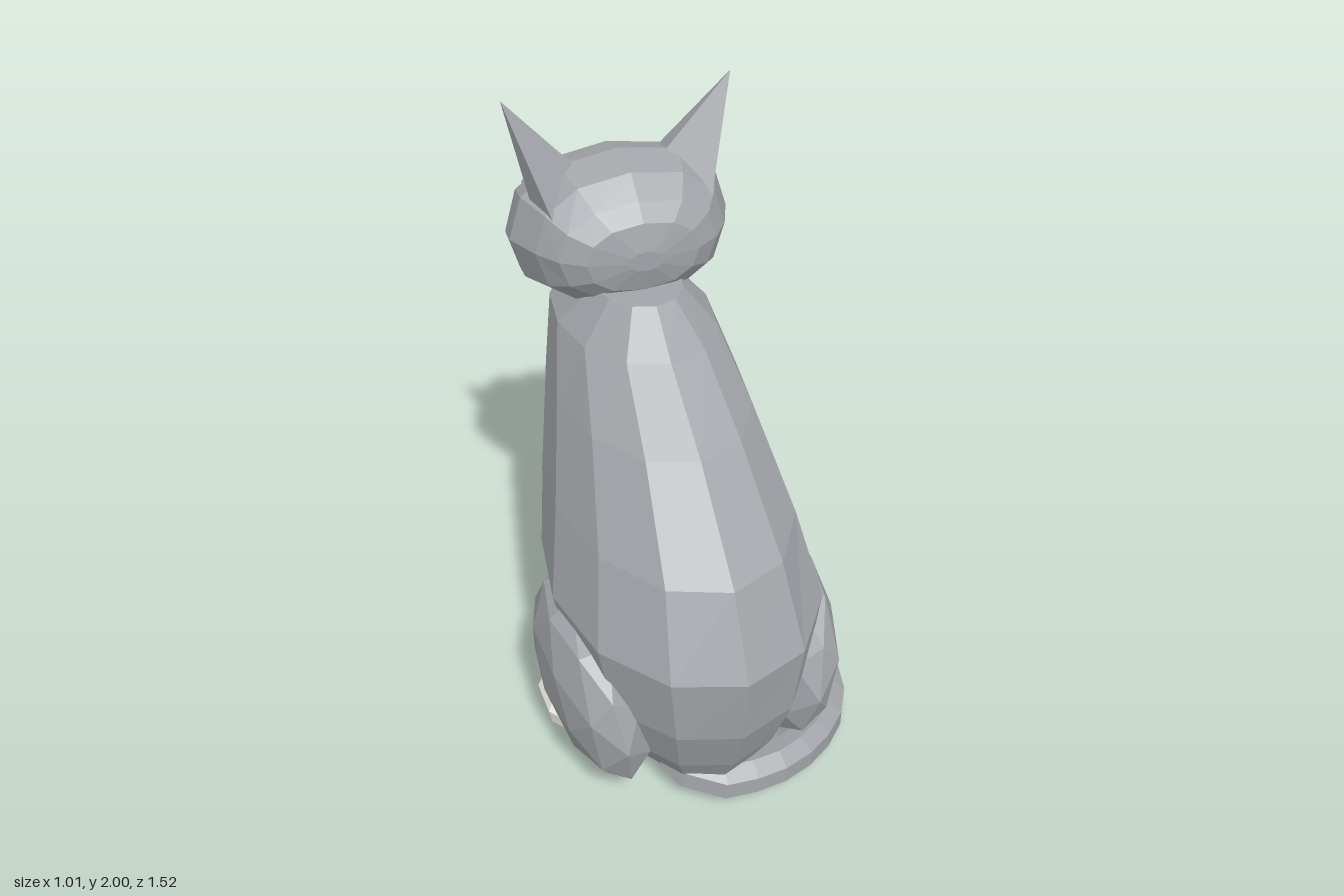
import * as THREE from 'three';

const mat = (color) => new THREE.MeshStandardMaterial({ color, flatShading: true, side: THREE.DoubleSide });
const fur = mat(0xa2a4a9), white = mat(0xf2efe8), pink = mat(0xdba5a2);
const iris = mat(0xb9bd7c), dark = mat(0x2c2c2c);

function add(parent, name, geometry, material) {
  const mesh = new THREE.Mesh(geometry, material);
  mesh.name = name;
  parent.add(mesh);
  return mesh;
}

// Skin over a list of rings of [x, y, z] points; closed rings get end caps
function loft(rings, closed = true) {
  const n = rings[0].length, pos = rings.flat(2), idx = [];
  const last = rings.length - 1;
  for (let i = 0; i < last; i++) {
    for (let j = 0; j < (closed ? n : n - 1); j++) {
      const a = i * n + j, b = i * n + (j + 1) % n;
      idx.push(a, b, b + n, a, b + n, a + n);
    }
  }
  if (closed) {
    for (let j = 1; j < n - 1; j++) {
      idx.push(0, j + 1, j, last * n, last * n + j, last * n + j + 1);
    }
  }
  const g = new THREE.BufferGeometry();
  g.setAttribute('position', new THREE.Float32BufferAttribute(pos, 3));
  g.setIndex(idx);
  g.computeVertexNormals();
  return g;
}

function triangles(points) {
  const g = new THREE.BufferGeometry();
  g.setAttribute('position', new THREE.Float32BufferAttribute(points.flat(), 3));
  g.computeVertexNormals();
  return g;
}

const fuller = (v, power) => Math.sign(v) * Math.abs(v) ** power;

// Horizontal body slice: [y, back z, front z, half width]
const bodySlices = [
  [0.11, 0.60, -0.05, 0.22], [0.24, 0.67, -0.11, 0.30], [0.42, 0.735, -0.19, 0.36],
  [0.655, 0.76, -0.32, 0.405], [0.90, 0.64, -0.43, 0.35], [1.16, 0.38, -0.50, 0.285],
  [1.34, 0.14, -0.53, 0.235], [1.46, 0.02, -0.32, 0.13],
];
// Point on a slice; the chest side is squarer than the back
function bodyPoint([y, zb, zf, w], degrees, grow = 1) {
  const t = THREE.MathUtils.degToRad(degrees);
  const x = fuller(Math.sin(t), Math.cos(t) < 0 ? 0.78 : 1);
  return [grow * w * x, y, (zb + zf) / 2 + grow * (zb - zf) / 2 * Math.cos(t)];
}

// Upright slice across the head: [z, top y, bottom y, half width], slightly squared
function headRing([z, top, bottom, w], sides) {
  return Array.from({ length: sides }, (_, j) => {
    const t = j / sides * Math.PI * 2;
    return [-w * fuller(Math.cos(t), 0.88),
      (top + bottom) / 2 + (top - bottom) / 2 * fuller(Math.sin(t), 0.88), z];
  });
}

function addHead(cat) {
  const head = new THREE.Group();
  head.name = 'head';
  cat.add(head);

  const skull = [
    [-0.066, 1.59, 1.53, 0.05], [-0.085, 1.67, 1.46, 0.17], [-0.125, 1.72, 1.42, 0.24],
    [-0.19, 1.78, 1.37, 0.29], [-0.30, 1.81, 1.34, 0.337], [-0.42, 1.78, 1.305, 0.32],
    [-0.53, 1.71, 1.27, 0.265], [-0.61, 1.625, 1.285, 0.192], [-0.68, 1.505, 1.315, 0.08],
    [-0.73, 1.46, 1.36, 0.035],
  ];
  add(head, 'skull', loft(skull.map((s) => headRing(s, 12))), fur);

  const muzzle = [
    [-0.53, 1.38, 1.345, 0.20], [-0.615, 1.45, 1.315, 0.188],
    [-0.70, 1.46, 1.325, 0.145], [-0.745, 1.445, 1.355, 0.055],
  ];
  add(head, 'muzzle', loft(muzzle.map((s) => headRing(s, 10))), white);

  const nose = add(head, 'nose', new THREE.CylinderGeometry(0.045, 0.016, 0.05, 6), pink);
  nose.position.set(0, 1.425, -0.738);
  nose.scale.z = 0.5;

  for (const s of [-1, 1]) {
    // Ear shell, its front edge folded round a recessed pink inside
    const tip = [s * 0.337, 2, -0.29], front = [s * 0.155, 1.77, -0.38], inner = [s * 0.135, 1.78, -0.29];
    const back = [s * 0.24, 1.68, -0.17], outer = [s * 0.275, 1.70, -0.272];
    const rim = [s * 0.185, 1.765, -0.365], deep = [s * 0.19, 1.74, -0.27];
    add(head, 'ear', triangles([
      tip, front, inner, tip, inner, back, tip, back, outer, tip, rim, front,
    ]), fur);
    add(head, 'innerEar', triangles([tip, rim, deep, tip, deep, outer]), pink);

    // Almond eye under a low brow, inner corner lower
    const eye = new THREE.Group();
    eye.name = 'eye';
    eye.position.set(s * 0.178, 1.565, -0.592);
    eye.rotation.set(0, Math.atan2(s * 0.65, -0.76), -s * 0.25);
    head.add(eye);
    const ball = new THREE.SphereGeometry(1, 10, 6);
    add(eye, 'eyeRim', ball, dark).scale.set(0.082, 0.045, 0.014);
    add(eye, 'iris', ball, iris).scale.set(0.064, 0.036, 0.022);
    const pupil = add(eye, 'pupil', ball, dark);
    pupil.scale.set(0.009, 0.03, 0.014);
    pupil.position.z = 0.01;
    const brow = add(eye, 'brow', ball, fur);
    brow.scale.set(0.085, 0.022, 0.028);
    brow.position.set(0, 0.043, -0.006);

    // Mouth line curling from below the nose
    const curve = new THREE.CatmullRomCurve3([
      new THREE.Vector3(0, 1.40, -0.75), new THREE.Vector3(s * 0.015, 1.37, -0.748),
      new THREE.Vector3(s * 0.05, 1.36, -0.742), new THREE.Vector3(s * 0.08, 1.38, -0.737),
    ]);
    add(head, 'mouth', new THREE.TubeGeometry(curve, 8, 0.004, 4), dark);
  }
}

// Short faceted drum standing on the ground, unit size
function pawGeometry(topRadius) {
  const profile = [[0, 0], [0.9, 0], [1, 0.45], [topRadius, 1], [0, 1]];
  return new THREE.LatheGeometry(profile.map(([r, y]) => new THREE.Vector2(r, y)), 8).rotateY(Math.PI / 8);
}

function addLegs(cat) {
  const frontPawShape = pawGeometry(0.85), hindPawShape = pawGeometry(0.65);
  for (const s of [-1, 1]) {
    // Front leg: [x, y, z, half width, half depth] from ankle to shoulder
    const sections = [
      [0.18, 0.08, -0.325, 0.053, 0.053], [0.187, 0.35, -0.30, 0.06, 0.055],
      [0.208, 0.62, -0.275, 0.073, 0.062], [0.22, 0.76, -0.265, 0.072, 0.06],
      [0.24, 0.86, -0.265, 0.02, 0.015],
    ];
    const rings = sections.map(([x, y, z, w, d]) => Array.from({ length: 7 }, (_, j) => {
      const t = j / 7 * Math.PI * 2;
      return [s * x + w * Math.sin(t), y, z + d * Math.cos(t)];
    }));
    add(cat, 'frontLeg', loft(rings), fur);

    const frontPaw = add(cat, 'frontPaw', frontPawShape, white);
    frontPaw.position.set(s * 0.18, 0, -0.355);
    frontPaw.scale.set(0.09, 0.115, 0.102);
    const hindPaw = add(cat, 'hindPaw', hindPawShape, white);
    hindPaw.position.set(s * 0.305, 0, 0.04);
    hindPaw.scale.set(0.118, 0.125, 0.17);

    // Haunch, leaning outwards at the top
    const haunch = add(cat, 'haunch', new THREE.IcosahedronGeometry(1, 1), fur);
    haunch.position.set(s * 0.307, 0.338, 0.25);
    haunch.scale.set(0.152, 0.322, 0.365);
    haunch.rotation.z = -s * 0.15;
  }
}

function addTail(cat) {
  const path = new THREE.CatmullRomCurve3([
    [-0.11, 0.13, 0.46], [-0.05, 0.095, 0.565], [0.09, 0.08, 0.585], [0.25, 0.073, 0.555],
    [0.415, 0.068, 0.44], [0.49, 0.065, 0.28], [0.468, 0.065, 0.12], [0.39, 0.065, 0.015],
  ].map((p) => new THREE.Vector3(...p)));
  add(cat, 'tail', new THREE.TubeGeometry(path, 12, 0.066, 7), fur);
  for (const t of [0, 1]) {
    const end = add(cat, 'tailEnd', new THREE.IcosahedronGeometry(0.064, 1), fur);
    end.position.copy(path.getPoint(t));
  }
}

export function createModel() {
  const model = new THREE.Group();
  model.name = 'sittingCat';
  const cat = new THREE.Group();
  cat.name = 'cat';
  cat.position.x = -0.048;
  model.add(cat);

  const angles = Array.from({ length: 12 }, (_, j) => j * 30);
  add(cat, 'body', loft(bodySlices.map((s) => angles.map((a) => bodyPoint(s, a)))), fur);

  // Pale chest, narrowing to a point between the front legs
  const spread = [2, 12, 36, 42, 45, 45];
  const bib = bodySlices.slice(2).map((s, i) => {
    const mid = Math.min(30, spread[i] * 0.7);
    return [-spread[i], -mid, 0, mid, spread[i]].map((a) => bodyPoint(s, 180 + a, 1.02));
  });
  add(cat, 'chest', loft(bib, false), white);

  addHead(cat);
  addLegs(cat);
  addTail(cat);
  return model;
}
